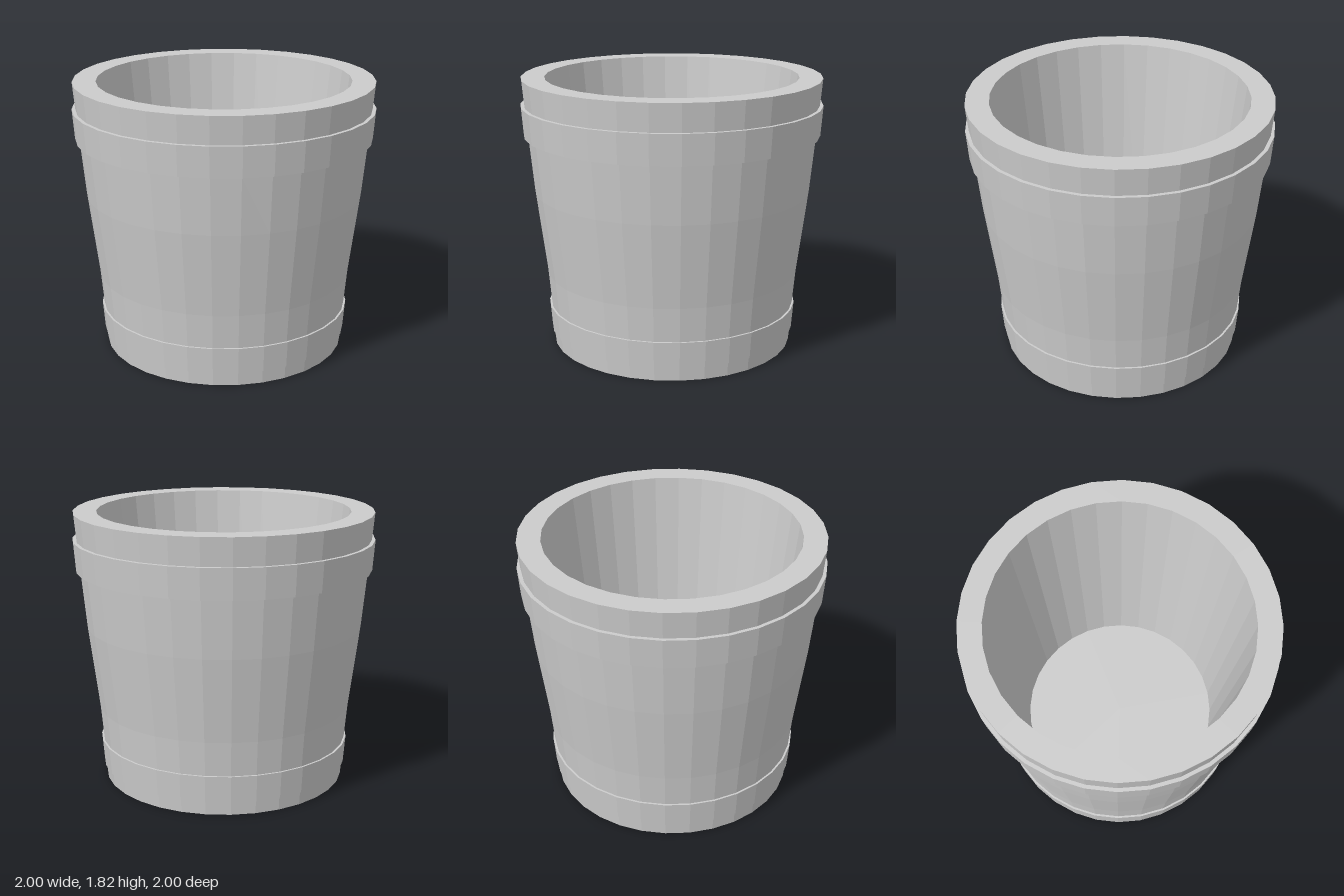
import * as THREE from 'three';

const SIDES = 32;

export function createModel() {
  const group = new THREE.Group();
  group.name = 'bucket';
  const material = new THREE.MeshStandardMaterial({ color: 0xcccccc, flatShading: true });

  // Revolve a [radius, height] profile, listed upwards along its outside
  const addRevolved = (name, profile) => {
    const points = profile.map(([r, y]) => new THREE.Vector2(r, y));
    const mesh = new THREE.Mesh(new THREE.LatheGeometry(points, SIDES), material);
    mesh.name = name;
    group.add(mesh);
  };

  // Tapered wall: foot ring, outside, rim, inside
  addRevolved('wall', [
    [0.75, 0.1], [0.75, 0], [0.814, 0], [0.821, 0.09], [0.832, 0.27], [0.852, 0.5],
    [0.922, 1.06], [0.958, 1.44], [0.992, 1.82],
    [0.838, 1.82], [0.664, 0.2],
  ]);

  // Floor, raised above the foot
  addRevolved('floorUnderside', [[0, 0.1], [0.75, 0.1]]);
  addRevolved('floorTop', [[0.664, 0.2], [0, 0.2]]);

  // Hoops around the wall: bottom lip, face, top lip
  const addHoop = (name, y0, r0, y1, r1) =>
    addRevolved(name, [[r0 - 0.05, y0], [r0, y0], [r1, y1], [r1 - 0.05, y1]]);
  addHoop('lowerHoop', 0.09, 0.831, 0.27, 0.845);
  addHoop('upperHoop', 1.44, 0.985, 1.64, 1.0);

  return group;
}
